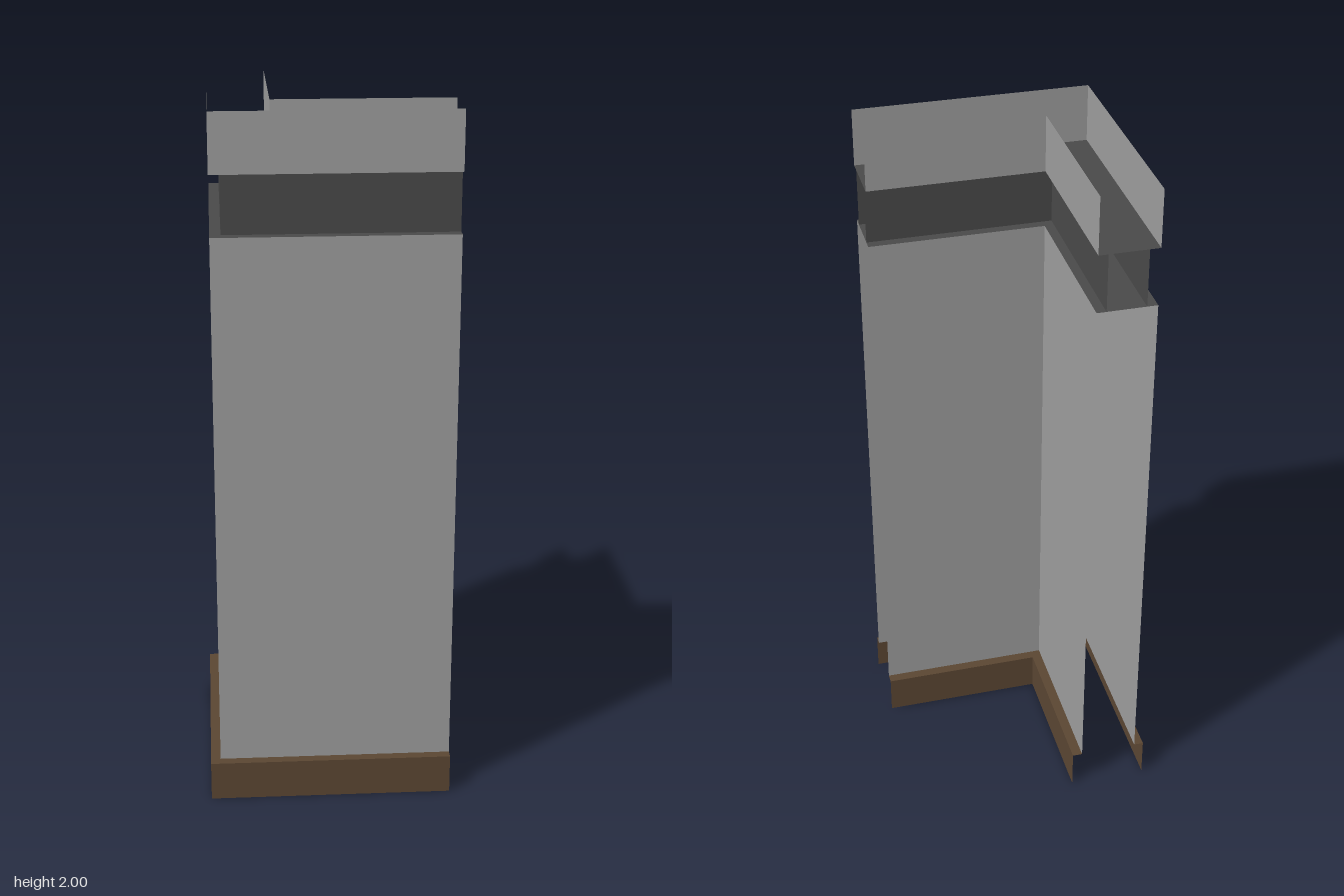
import * as THREE from 'three';

const END = 0.348;                                  // where both arms are cut off
const OUT = { base: 0.348, wall: 0.32, band: 0.29 };   // outer side offsets
const INN = { base: 0.124, wall: 0.153, band: 0.18 };  // inner side offsets
const Y = { base: 0.115, low: 1.668, high: 1.835, top: 2 };

// L-shaped path at a given offset and height
const path = (d, y) => [[-d, y, -END], [-d, y, d], [END, y, d]];

// Sheet joining two L-shaped paths: upright panel, ledge or floor
function sheet(dA, yA, dB, yB) {
  const a = path(dA, yA), b = path(dB, yB), pos = [];
  for (let i = 0; i < 2; i++) {
    pos.push(...a[i], ...a[i + 1], ...b[i + 1], ...a[i], ...b[i + 1], ...b[i]);
  }
  const g = new THREE.BufferGeometry();
  g.setAttribute('position', new THREE.Float32BufferAttribute(pos, 3));
  g.computeVertexNormals();
  return g;
}

export function createModel() {
  const material = (name, color) =>
    new THREE.MeshStandardMaterial({ name, color, side: THREE.DoubleSide });
  const plaster = material('light grey plaster', 0x9f9f9f);
  const dark = material('dark grey trim', 0x4a4a4a);
  const wood = material('brown wood', 0x5c4733);

  const model = new THREE.Group();
  model.name = 'wallCorner';
  const add = (name, mat, ...args) => {
    const mesh = new THREE.Mesh(sheet(...args), mat);
    mesh.name = name;
    model.add(mesh);
  };
  // Upright panels on the outer and inner side, facing away from the cavity
  const panels = (name, mat, key, y0, y1) => {
    add(name + 'Outer', mat, OUT[key], y0, OUT[key], y1);
    add(name + 'Inner', mat, INN[key], y1, INN[key], y0);
  };

  // Skirting board with its top ledges
  panels('skirting', wood, 'base', 0, Y.base);
  add('skirtingLedgeOuter', wood, OUT.base, Y.base, OUT.wall, Y.base);
  add('skirtingLedgeInner', wood, INN.wall, Y.base, INN.base, Y.base);

  // Main wall, recessed band and top rim
  panels('wall', plaster, 'wall', Y.base, Y.low);
  panels('recessedBand', dark, 'band', Y.low, Y.high);
  panels('topRim', plaster, 'wall', Y.high, Y.top);

  // Horizontal plates closing the recess below and above
  add('recessFloor', dark, OUT.wall, Y.low, INN.wall, Y.low);
  add('recessCeiling', dark, OUT.wall, Y.high, INN.wall, Y.high);

  return model;
}
